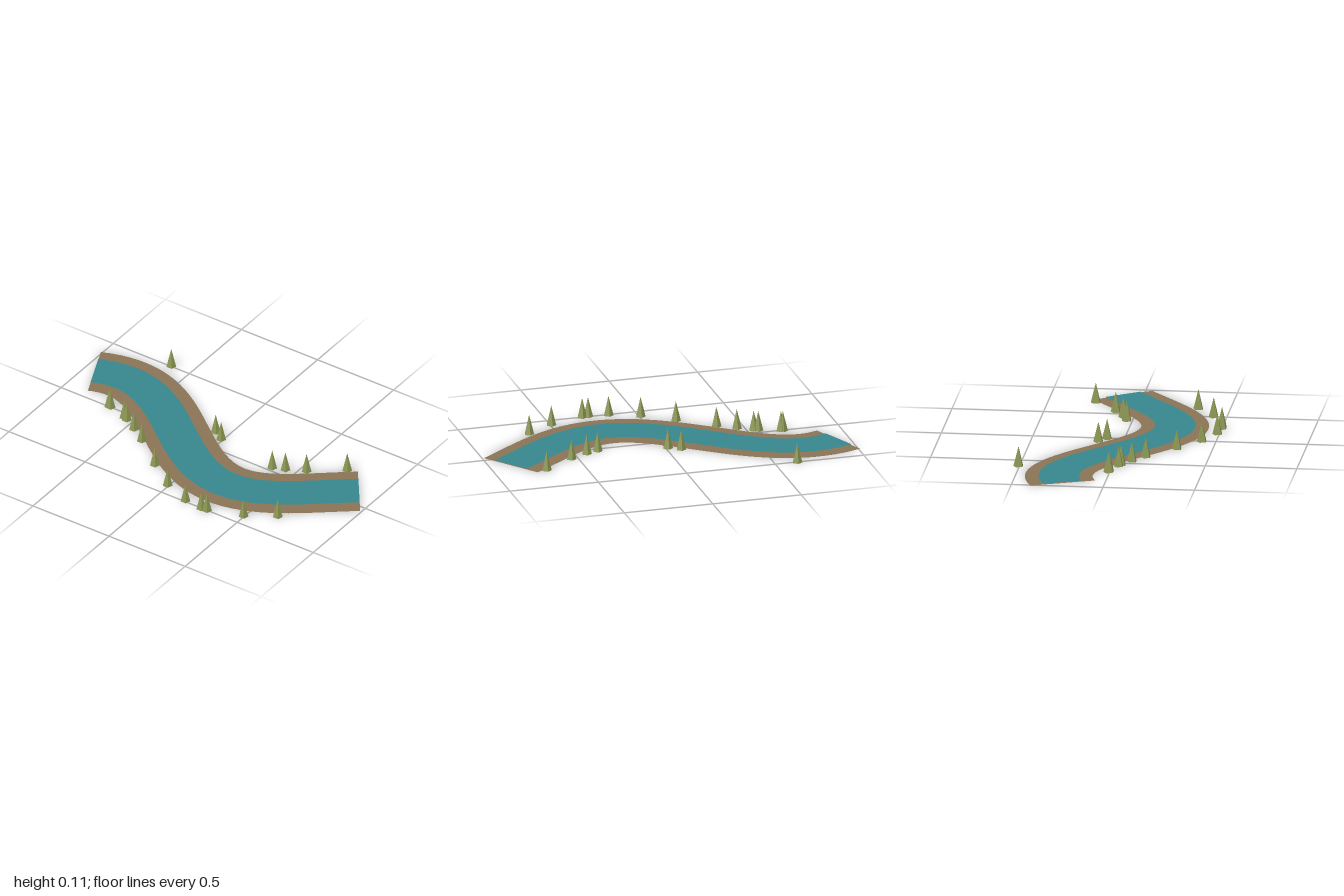
import * as THREE from 'three';

const START = -0.937, END = 0.881, SEGMENTS = 48;

// Flat ribbon following the sine-shaped course of the river
function ribbon(halfWidth, y) {
  const positions = [], normals = [], index = [];
  const k = Math.PI / 1.004;
  for (let i = 0; i <= SEGMENTS; i++) {
    const x = START + (END - START) * i / SEGMENTS;
    const phase = k * (x + 0.756);
    const z = -0.0105 - 0.2565 * Math.cos(phase);
    const slope = 0.2565 * k * Math.sin(phase);
    const len = Math.hypot(1, slope);
    for (const side of [-1, 1]) {
      positions.push(x - side * halfWidth * slope / len, y, z + side * halfWidth / len);
      normals.push(0, 1, 0);
    }
    if (i < SEGMENTS) {
      const a = i * 2;
      index.push(a, a + 1, a + 3, a, a + 3, a + 2);
    }
  }
  const geometry = new THREE.BufferGeometry();
  geometry.setAttribute('position', new THREE.Float32BufferAttribute(positions, 3));
  geometry.setAttribute('normal', new THREE.Float32BufferAttribute(normals, 3));
  geometry.setIndex(index);
  return geometry;
}

function material(name, color, options = {}) {
  const m = new THREE.MeshStandardMaterial({ color, ...options });
  m.name = name;
  return m;
}

export function createModel() {
  const model = new THREE.Group();
  model.name = 'river';
  const earth = material('earth', 0x8b7355, { side: THREE.DoubleSide });
  const blue = material('waterBlue', 0x37868e, { side: THREE.DoubleSide });
  const green = material('reedGreen', 0x8a9652, { flatShading: true });

  // Bank strip with the narrower water surface just above it
  const bank = new THREE.Mesh(ribbon(0.184, 0), earth);
  bank.name = 'riverBank';
  const water = new THREE.Mesh(ribbon(0.11, 0.005), blue);
  water.name = 'water';
  model.add(bank, water);

  // Five-sided reeds scattered along both banks, as [x, z]
  const spots = [
    [-0.622, -0.505], [-0.075, -0.133], [-0.012, -0.093], [0.367, -0.03],
    [0.436, -0.056], [0.538, -0.11], [0.716, -0.24],
    [-0.687, -0.006], [-0.677, -0.003], [-0.56, 0.035], [-0.537, 0.045],
    [-0.456, 0.095], [-0.36, 0.16], [-0.174, 0.307], [-0.009, 0.424],
    [0.153, 0.49], [0.265, 0.502], [0.3, 0.498], [0.494, 0.43], [0.649, 0.328],
  ];
  const cone = new THREE.ConeGeometry(0.028, 0.113, 5);
  cone.rotateY(Math.PI);
  cone.translate(0, 0.0565, 0);
  const reeds = new THREE.Group();
  reeds.name = 'reeds';
  for (const [x, z] of spots) {
    const reed = new THREE.Mesh(cone, green);
    reed.name = 'reed';
    reed.position.set(x, 0, z);
    reeds.add(reed);
  }
  model.add(reeds);
  return model;
}
